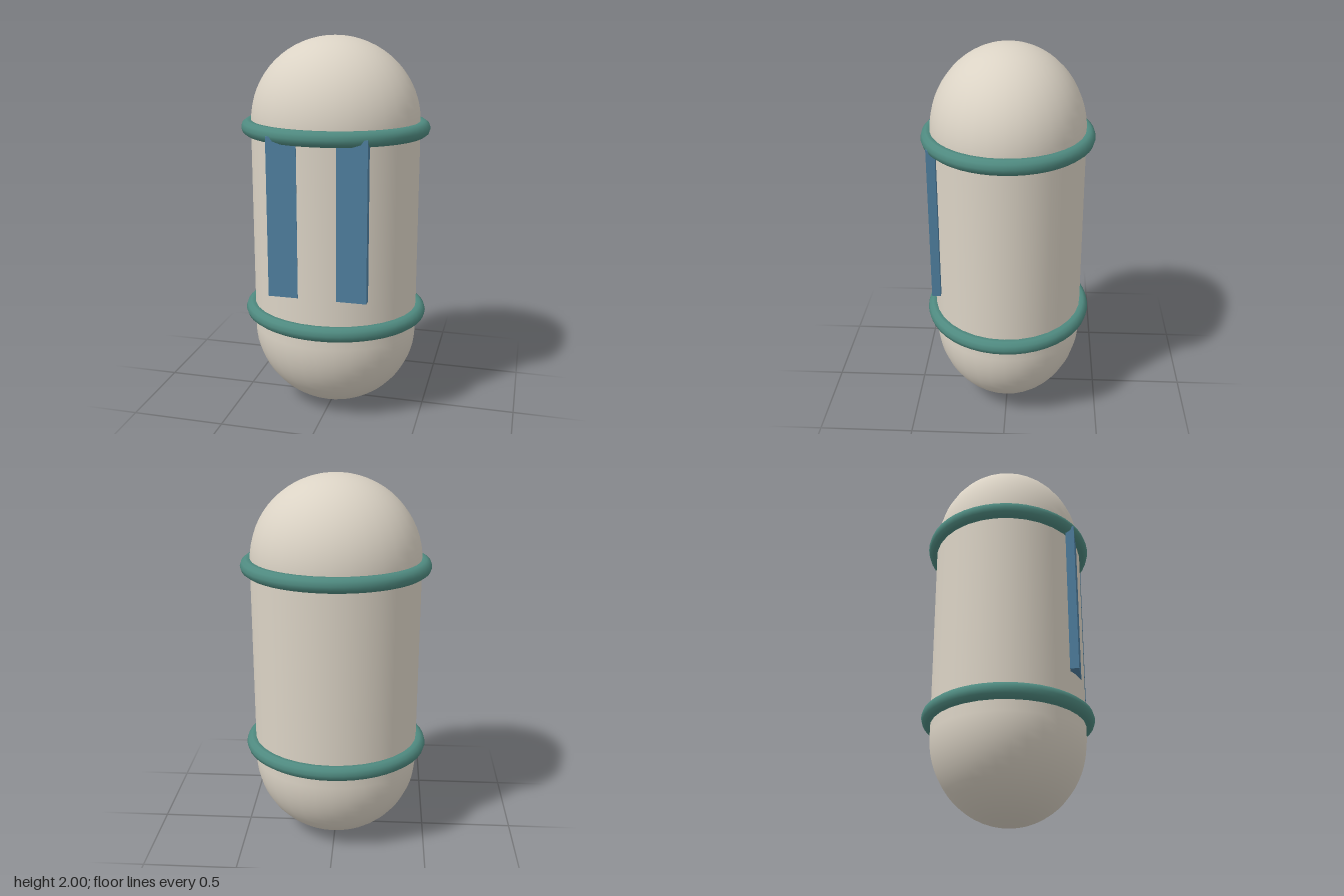
import * as THREE from 'three';

const R = 0.445;      // body radius across
const SQUASH = 0.9;   // front-to-back flattening
const LOW = 0.44, HIGH = 1.56; // dome centres

export function createModel() {
  const model = new THREE.Group();
  const paint = (name, color) => {
    const m = new THREE.MeshStandardMaterial({ color });
    m.name = name;
    return m;
  };
  const cream = paint('warm cream', 0xdbd3c5);
  const teal = paint('teal', 0x4f8a80);
  const blue = paint('slate blue', 0x4f7f9f);

  const add = (name, geometry, material, x, y, z) => {
    const mesh = new THREE.Mesh(geometry, material);
    mesh.name = name;
    mesh.position.set(x, y, z);
    model.add(mesh);
    return mesh;
  };

  // Capsule body: open wall closed by two domes
  const wall = new THREE.CylinderGeometry(R, R, HIGH - LOW, 32, 1, true);
  add('bodyWall', wall.scale(1, 1, SQUASH), cream, 0, (LOW + HIGH) / 2, 0);
  const dome = (start) => new THREE.SphereGeometry(R, 32, 16, 0, Math.PI * 2, start, Math.PI / 2)
    .scale(1, 0.44 / R, SQUASH);
  add('topDome', dome(0), cream, 0, HIGH, 0);
  add('bottomDome', dome(Math.PI / 2), cream, 0, LOW, 0);

  // Rings around both ends of the wall
  for (const [name, y] of [['lowerRing', 0.535], ['upperRing', 1.535]]) {
    const ring = new THREE.TorusGeometry(0.456, 0.04, 10, 48);
    ring.rotateX(Math.PI / 2).scale(1, 1, SQUASH);
    add(name, ring, teal, 0, y, 0);
  }

  // Two upright panels let into the front
  for (const [name, side] of [['leftPanel', 1], ['rightPanel', -1]]) {
    add(name, new THREE.BoxGeometry(0.155, 0.825, 0.045), blue, side * 0.178, 1.1225, 0.3685);
  }
  return model;
}
